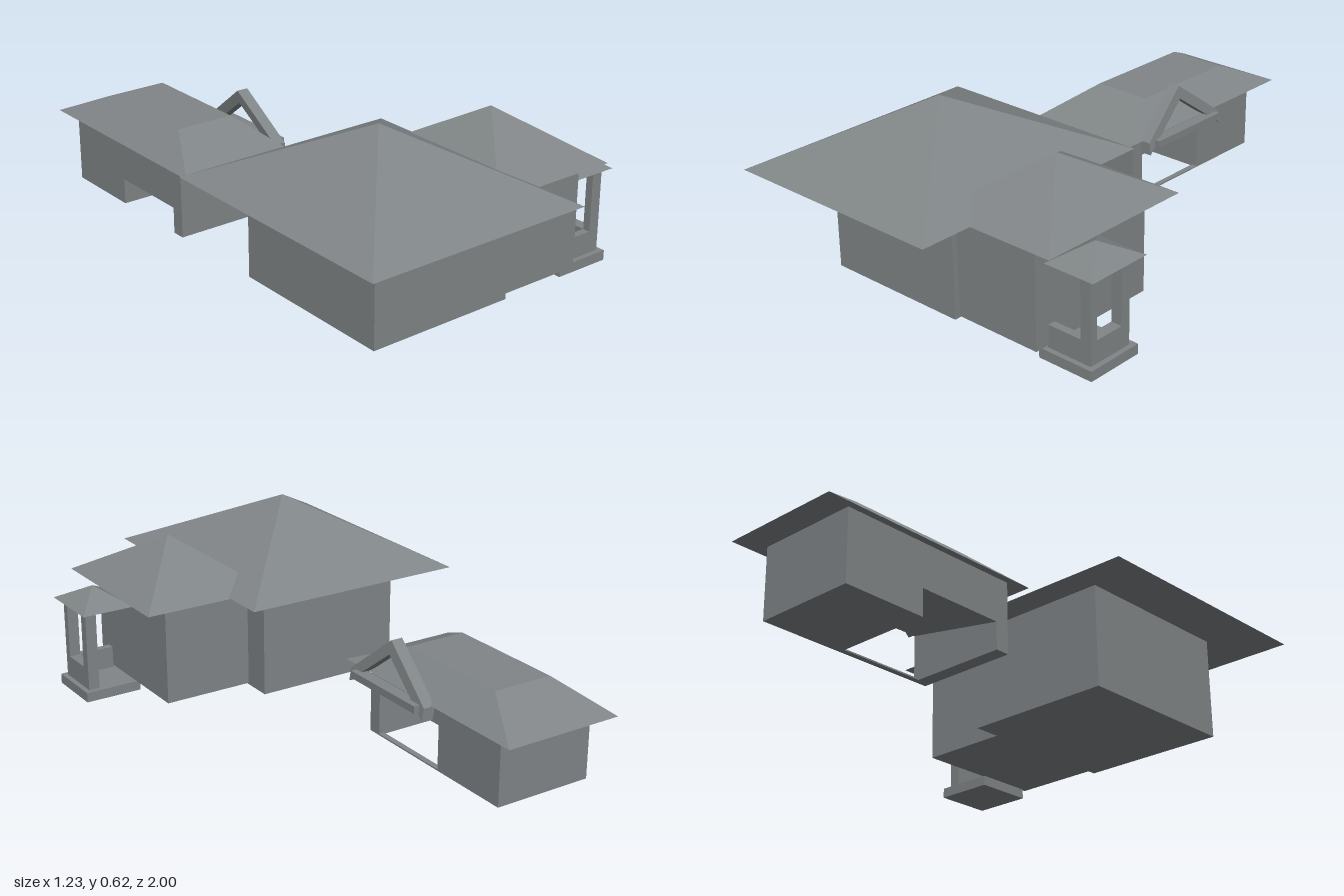
import * as THREE from 'three';

const mat = new THREE.MeshStandardMaterial({ color: 0x808587, flatShading: true, side: THREE.DoubleSide });

function add(group, name, geometry) {
  const mesh = new THREE.Mesh(geometry, mat);
  mesh.name = name;
  group.add(mesh);
}

// Box given by its limits on each axis
function block([x0, x1], [y0, y1], [z0, z1]) {
  const g = new THREE.BoxGeometry(x1 - x0, y1 - y0, z1 - z0);
  return g.translate((x0 + x1) / 2, (y0 + y1) / 2, (z0 + z1) / 2);
}

// Move each vertex of a geometry by a rule
function reshape(g, rule) {
  const p = g.attributes.position;
  const v = new THREE.Vector3();
  for (let i = 0; i < p.count; i++) {
    v.fromBufferAttribute(p, i);
    rule(v);
    p.setXYZ(i, v.x, v.y, v.z);
  }
  g.computeVertexNormals();
  return g;
}

// Hipped roof: a block whose top is drawn in to a smaller rectangle or a point
function hipRoof(xs, ys, zs, topX, topZ) {
  const midX = (xs[0] + xs[1]) / 2, midY = (ys[0] + ys[1]) / 2, midZ = (zs[0] + zs[1]) / 2;
  return reshape(block(xs, ys, zs), (v) => {
    if (v.y < midY) return;
    v.x = v.x < midX ? topX[0] : topX[1];
    v.z = v.z < midZ ? topZ[0] : topZ[1];
  });
}

function subgroup(parent, name) {
  const g = new THREE.Group();
  g.name = name;
  parent.add(g);
  return g;
}

export function createModel() {
  const model = new THREE.Group();
  model.name = 'houseWithGarage';

  // Main house
  const house = subgroup(model, 'mainHouse');
  add(house, 'mainWalls', block([-0.433, 0.1], [0.038, 0.4], [0.17, 0.79]));
  add(house, 'mainRoof', hipRoof([-0.618, 0.202], [0.398, 0.62], [0.065, 1], [-0.208, -0.208], [0.533, 0.533]));

  // Side wing
  const wing = subgroup(model, 'sideWing');
  add(wing, 'wingWalls', block([0.095, 0.422], [0.043, 0.4], [0.277, 0.77]));
  add(wing, 'wingRoof', hipRoof([0.037, 0.513], [0.395, 0.56], [0.223, 0.807], [0.275, 0.275], [0.515, 0.515]));

  // Porch with base, low walls, two posts and a small roof; open at the back
  const porch = subgroup(model, 'porch');
  add(porch, 'porchBase', block([0.4, 0.608], [0, 0.035], [0.525, 0.735]));
  add(porch, 'frontPost', block([0.55, 0.59], [0.035, 0.33], [0.69, 0.717]));
  add(porch, 'backPost', block([0.55, 0.59], [0.035, 0.33], [0.545, 0.58]));
  add(porch, 'frontLowWall', block([0.42, 0.55], [0.035, 0.113], [0.69, 0.717]));
  add(porch, 'endLowWall', block([0.55, 0.59], [0.035, 0.113], [0.58, 0.69]));
  add(porch, 'porchRoof', hipRoof([0.427, 0.617], [0.328, 0.39], [0.5, 0.738], [0.522, 0.522], [0.62, 0.62]));

  // Garage with a passage under a sloping ceiling
  const garage = subgroup(model, 'garage');
  const gx = [-0.415, -0.06];
  add(garage, 'garageRoom', block(gx, [0.02, 0.264], [-0.905, -0.605]));
  add(garage, 'garageEndWall', block(gx, [0.02, 0.264], [-0.29, -0.24]));
  add(garage, 'passageSill', block([-0.08, -0.06], [0.02, 0.025], [-0.605, -0.29]));
  add(garage, 'passageLintel', reshape(block(gx, [0.113, 0.264], [-0.605, -0.29]), (v) => {
    if (v.y < 0.2 && v.x > -0.2) v.y = 0.178;
  }));
  add(garage, 'garageRoof', hipRoof([-0.439, -0.011], [0.263, 0.353], [-1, -0.166], [-0.332, -0.115], [-0.803, -0.372]));

  // Open gable frame leaning back against the garage roof
  const gable = subgroup(model, 'gableFrame');
  const lean = (v) => { v.x -= (v.y - 0.24) * 0.15; };
  for (const [side, footZ] of [['front', -0.235], ['back', -0.628]]) {
    const apexZ = -0.422;
    // Outline drawn in (-z, y), then turned so that its depth runs along x
    const s = new THREE.Shape([[apexZ, 0.415], [footZ, 0.262], [footZ, 0.218], [apexZ, 0.368]]
      .map(([z, y]) => new THREE.Vector2(-z, y)));
    const g = new THREE.ExtrudeGeometry(s, { depth: 0.042, bevelEnabled: false });
    g.rotateY(Math.PI / 2).translate(-0.021, 0, 0);
    add(gable, side + 'Rafter', reshape(g, lean));
  }
  add(gable, 'tieBeam', reshape(block([-0.005, 0.038], [0.223, 0.266], [-0.605, -0.265]), (v) => {
    if (v.y < 0.24 && v.x > 0.01) v.y = 0.241;
  }));

  return model;
}
